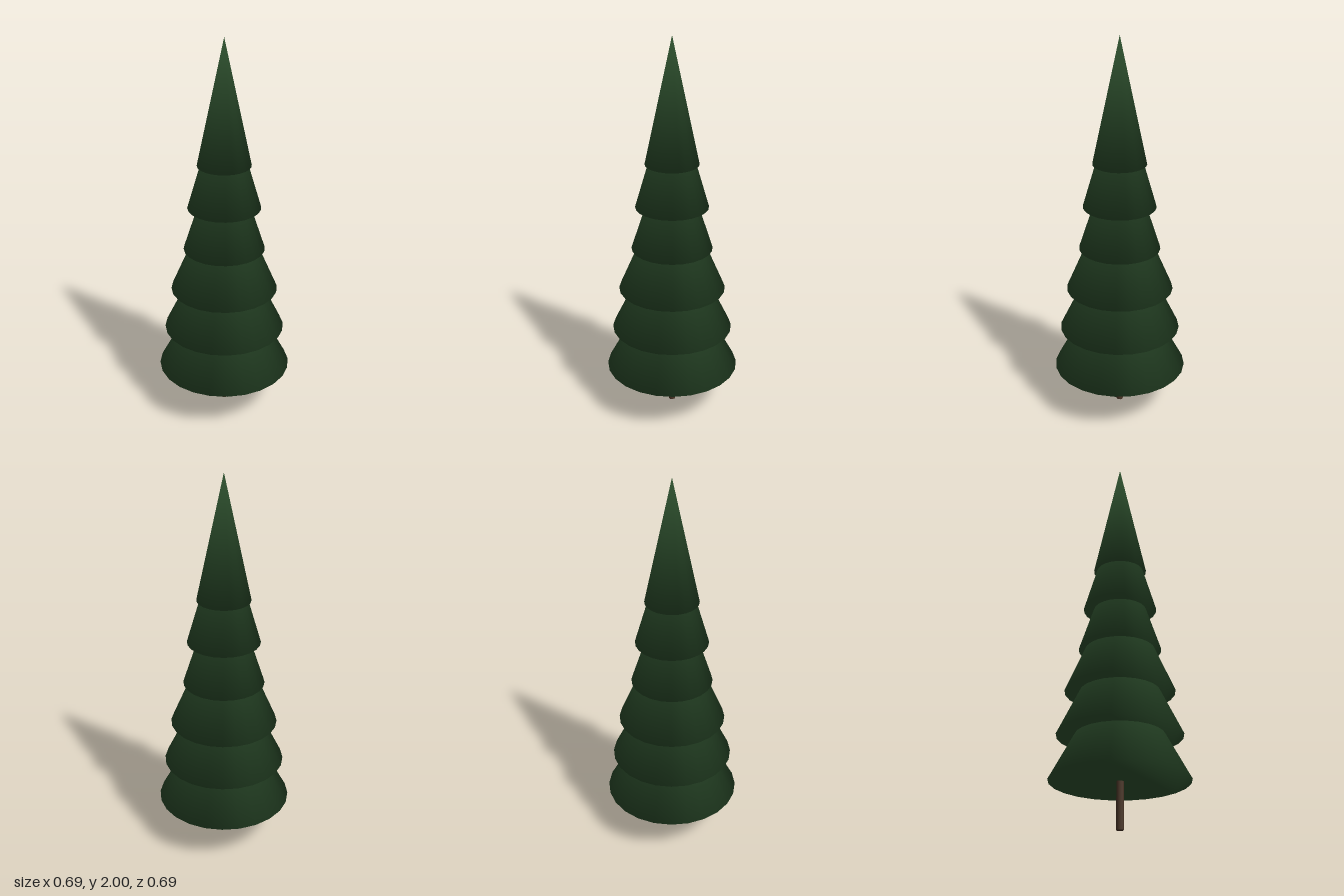
import * as THREE from 'three';

const SIDES = 24;
const TIER_HEIGHT = 0.637;

// Closed cone whose skirt and underside share one soft, rounded rim
function softCone(radius, height) {
  const slant = Math.hypot(radius, height);
  const rim = new THREE.Vector2(height / slant, radius / slant - 0.96).normalize();
  const positions = [0, height, 0];
  const normals = [0, 1, 0];
  const index = [];
  for (let i = 0; i < SIDES; i++) {
    const a = (i / SIDES) * Math.PI * 2;
    const c = Math.cos(a), s = -Math.sin(a);
    positions.push(radius * c, 0, radius * s);
    normals.push(rim.x * c, rim.y, rim.x * s);
    index.push(0, i + 1, ((i + 1) % SIDES) + 1); // skirt
    if (i > 0 && i < SIDES - 1) index.push(1, i + 2, i + 1); // underside
  }
  const geometry = new THREE.BufferGeometry();
  geometry.setAttribute('position', new THREE.Float32BufferAttribute(positions, 3));
  geometry.setAttribute('normal', new THREE.Float32BufferAttribute(normals, 3));
  geometry.setIndex(index);
  return geometry;
}

export function createModel() {
  const tree = new THREE.Group();
  tree.name = 'coniferTree';

  const needles = new THREE.MeshStandardMaterial({ color: 0x2d4f2d });
  needles.name = 'needleGreen';
  const bark = new THREE.MeshStandardMaterial({ color: 0x4a3526 });
  bark.name = 'barkBrown';

  // Trunk, running up into the lowest tiers
  const trunk = new THREE.Mesh(new THREE.CylinderGeometry(0.018, 0.018, 0.45, 8), bark);
  trunk.name = 'trunk';
  trunk.position.y = 0.225;
  tree.add(trunk);

  // Six overlapping tiers of equal height, narrowing upward
  const foliage = new THREE.Group();
  foliage.name = 'foliage';
  [0.345, 0.312, 0.275, 0.208, 0.186, 0.136].forEach((radius, i) => {
    const tier = new THREE.Mesh(softCone(radius, TIER_HEIGHT), needles);
    tier.name = `foliageTier${i + 1}`;
    tier.position.y = 0.233 + i * 0.226;
    tier.rotation.y = THREE.MathUtils.degToRad(1.7);
    foliage.add(tier);
  });
  tree.add(foliage);

  return tree;
}
